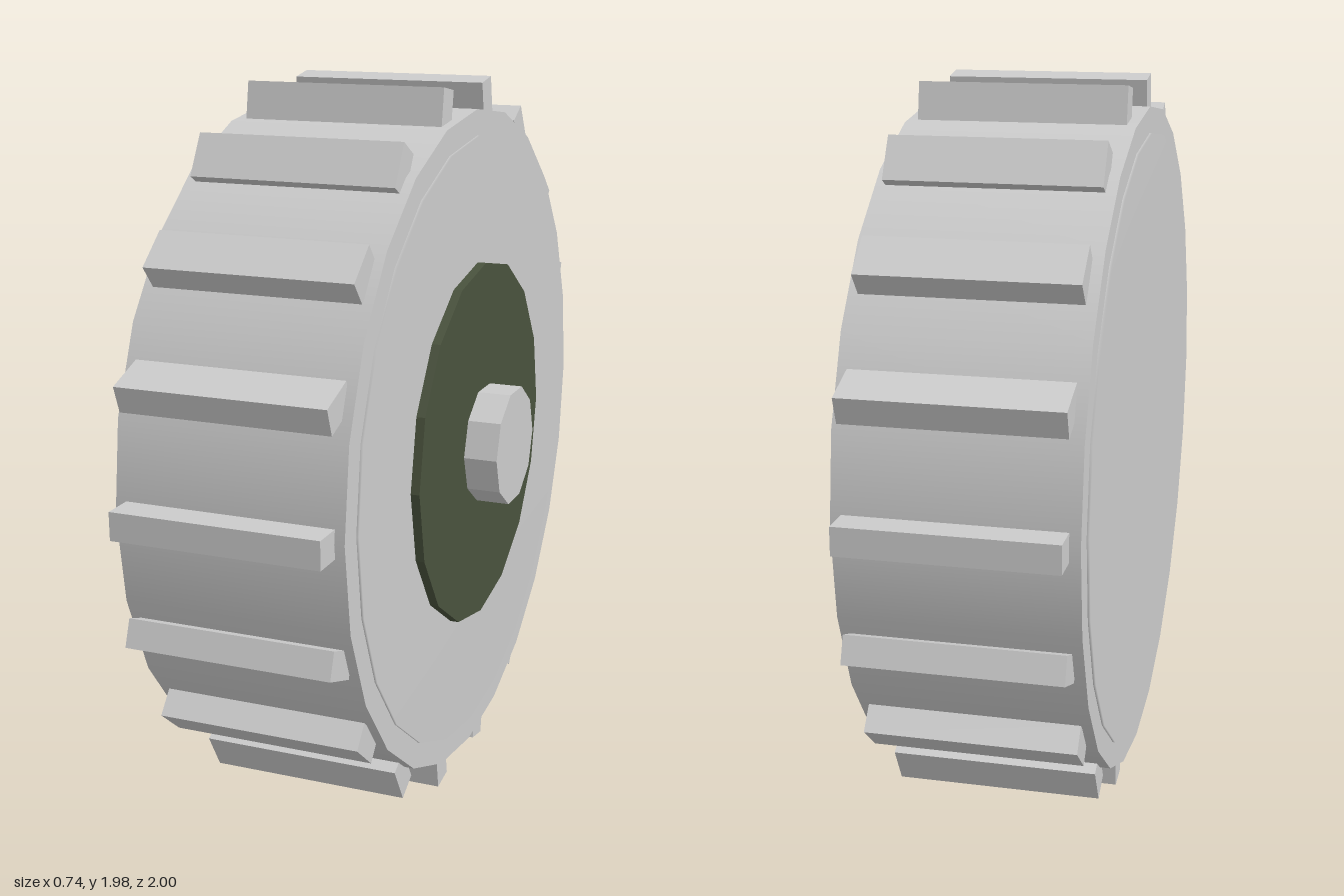
import * as THREE from 'three';

const grey = new THREE.MeshStandardMaterial({ color: 0xcccccc });
const greyFlat = new THREE.MeshStandardMaterial({ color: 0xcccccc, flatShading: true });
const green = new THREE.MeshStandardMaterial({ color: 0x49523d, flatShading: true });

export function createModel() {
  const model = new THREE.Group();
  model.name = 'wheel';
  model.position.y = 0.991;

  const add = (name, geometry, material) => {
    const mesh = new THREE.Mesh(geometry, material);
    mesh.name = name;
    model.add(mesh);
    return mesh;
  };

  // Cylinder along the axle (x), from x0 to x1
  const disc = (name, radius, x0, x1, sides, material) => {
    const geometry = new THREE.CylinderGeometry(radius, radius, x1 - x0, sides);
    geometry.rotateZ(-Math.PI / 2).translate((x0 + x1) / 2, 0, 0);
    return add(name, geometry, material);
  };

  // Tyre drum
  disc('tyre', 0.92, -0.364, 0.246, 24, grey);

  // Thin raised side walls, softly shaded toward the rim
  for (const side of [1, -1]) {
    const profile = [[0.85, 0], [0.85, 0.007], [0, 0.007]].map(([r, h]) => new THREE.Vector2(r, h));
    const wall = new THREE.LatheGeometry(profile, 24);
    wall.rotateZ(-side * Math.PI / 2).translate(side > 0 ? 0.246 : -0.364, 0, 0);
    add(side > 0 ? 'outerWall' : 'innerWall', wall, grey);
  }

  // Hub plate and axle cap
  disc('hubPlate', 0.508, 0.25, 0.277, 16, green);
  disc('axleCap', 0.165, 0.27, 0.37, 10, greyFlat);

  // Tread lugs around the drum, each turned against its place on the circle
  const lugGeometry = new THREE.BoxGeometry(0.555, 0.074, 0.12);
  for (let i = 0; i < 18; i++) {
    const angle = (i / 18) * Math.PI * 2;
    const lug = add('treadLug', lugGeometry, greyFlat);
    lug.position.set(-0.058, 0.94 * Math.sin(angle), 0.94 * Math.cos(angle));
    lug.rotation.x = angle;
  }

  return model;
}
